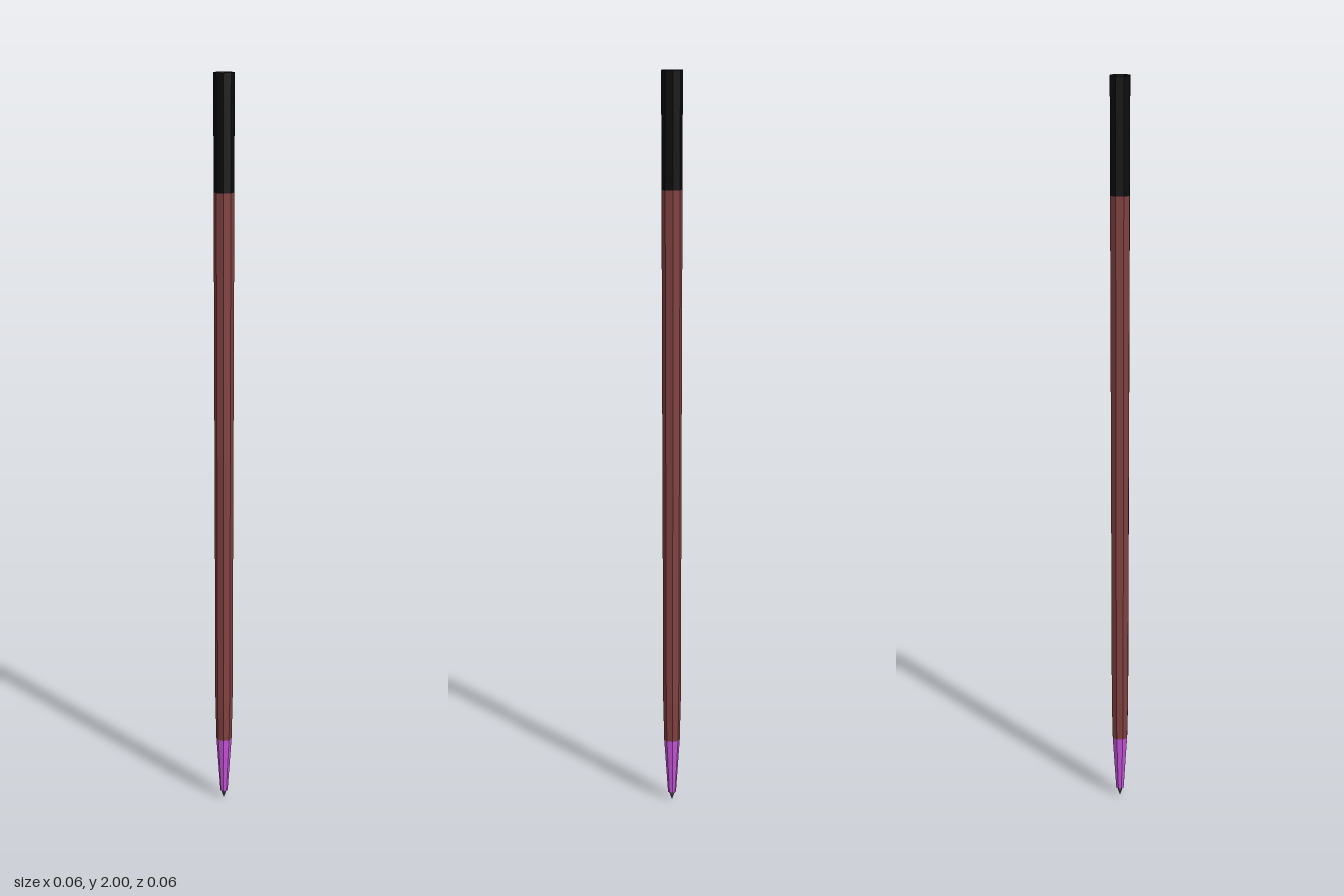
import * as THREE from 'three';

const SIDES = 8;

function paint(name, color) {
  const m = new THREE.MeshStandardMaterial({ color, flatShading: true, side: THREE.DoubleSide });
  m.name = name;
  return m;
}

// Open eight-sided shell through [radius, y] points, with corners on the axes
function shell(name, points, material) {
  const profile = points.map(([r, y]) => new THREE.Vector2(r, y));
  const mesh = new THREE.Mesh(new THREE.LatheGeometry(profile, SIDES), material);
  mesh.name = name;
  return mesh;
}

export function createModel() {
  const group = new THREE.Group();
  group.name = 'pen';

  const black = paint('black grip', 0x0c0c0c);
  const brown = paint('red brown', 0x804040);
  const purple = paint('purple', 0xc353d6);
  const grey = paint('violet grey', 0x6a5570);

  // Open-topped black end
  group.add(shell('endSleeve', [[0.028, 1.685], [0.0287, 2]], black));
  // Long shaft, tapering faster near the point
  group.add(shell('shaft', [[0.0215, 0.17], [0.0242, 0.28], [0.028, 1.685]], brown));
  // Hollow cone at the writing end
  group.add(shell('noseCone', [[0.011, 0.02], [0.0215, 0.17]], purple));
  // Small point, set slightly inside the mouth of the cone
  group.add(shell('point', [[0.0005, 0], [0.005, 0.012], [0.0085, 0.022], [0, 0.024]], grey));

  return group;
}
